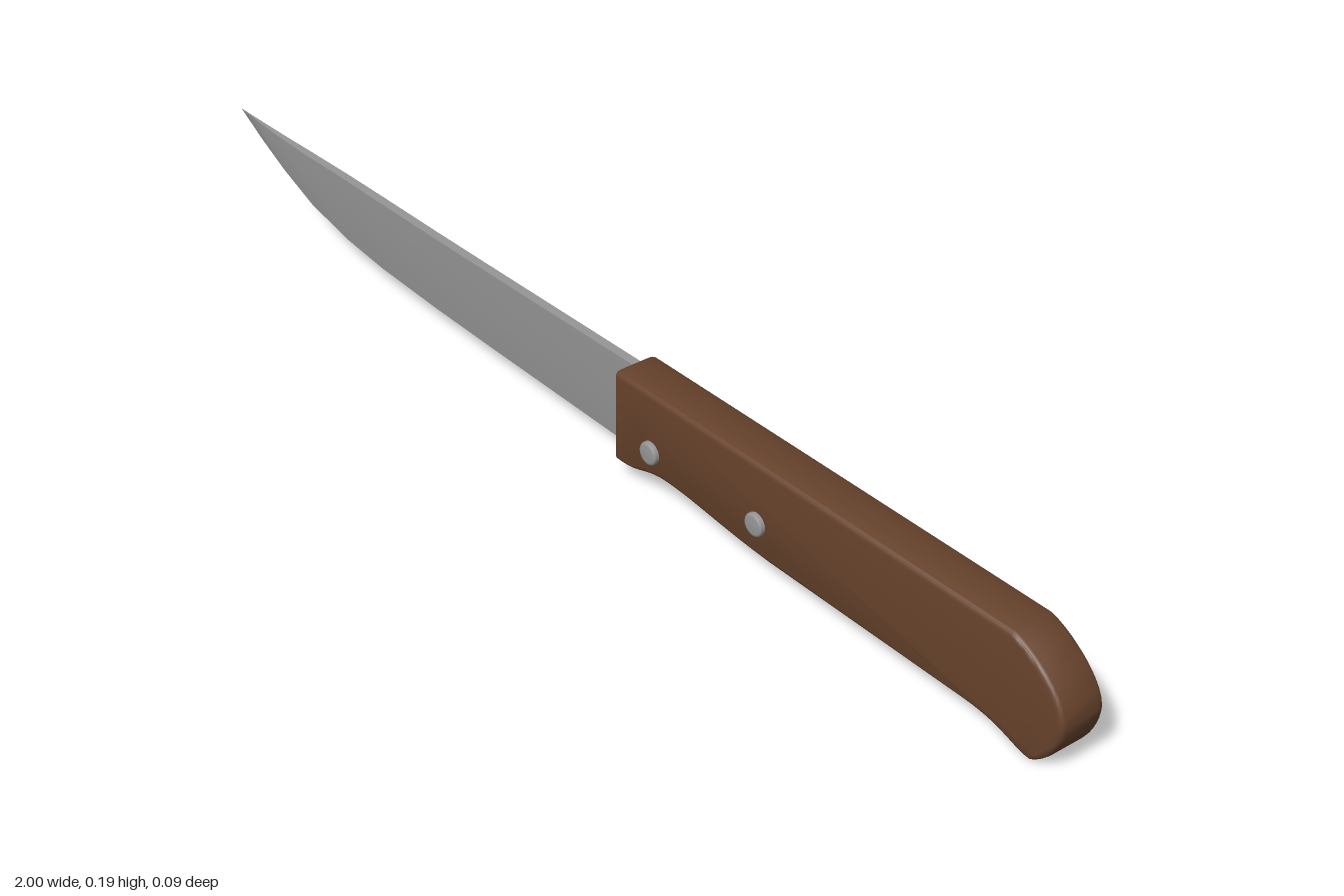
import * as THREE from 'three';
import { toCreasedNormals } from 'three/addons/utils/BufferGeometryUtils.js';

const wood = new THREE.MeshStandardMaterial({ color: 0x66422b });
wood.name = 'brown wood';
const steel = new THREE.MeshStandardMaterial({ color: 0x969696 });
steel.name = 'grey steel';

const HANDLE_Z = -0.0035; // middle of the handle's thickness
const BLADE_Z = -0.008;

function add(group, name, geometry, material) {
  const mesh = new THREE.Mesh(geometry, material);
  mesh.name = name;
  group.add(mesh);
  return mesh;
}

// Handle: side outline with a finger notch and a hooked butt, extruded with rounded edges
function handleGeometry() {
  const s = new THREE.Shape();
  s.moveTo(0.063, 0.04);
  s.lineTo(0.063, 0.182);
  s.quadraticCurveTo(0.063, 0.189, 0.072, 0.189);
  s.lineTo(0.895, 0.189);
  s.bezierCurveTo(0.935, 0.178, 0.995, 0.135, 1.0, 0.092);
  s.bezierCurveTo(1.0, 0.055, 0.975, 0.018, 0.945, 0.002);
  s.bezierCurveTo(0.91, 0.004, 0.89, 0.026, 0.82, 0.027);
  s.lineTo(0.42, 0.032);
  s.bezierCurveTo(0.3, 0.037, 0.25, 0.051, 0.18, 0.05);
  s.bezierCurveTo(0.13, 0.048, 0.12, 0.03, 0.075, 0.032);
  s.quadraticCurveTo(0.063, 0.032, 0.063, 0.04);
  const bevel = 0.012;
  const depth = 0.079 - 2 * bevel;
  const g = new THREE.ExtrudeGeometry(s, {
    depth, curveSegments: 10, bevelEnabled: true, bevelThickness: bevel,
    bevelSize: 0.008, bevelOffset: -0.008, bevelSegments: 4,
  });
  g.translate(0, 0, HANDLE_Z - depth / 2);
  return toCreasedNormals(g, 0.7);
}

// Blade: wedge cross-sections from the handle to the tip, thick spine and sharp edge
function bladeGeometry() {
  // x, spine height, edge height, half thickness of the spine
  const stations = [
    [0.1, 0.186, 0.03, 0.008], [-0.1, 0.184, 0.034, 0.008],
    [-0.3, 0.182, 0.038, 0.008], [-0.45, 0.181, 0.042, 0.008],
    [-0.6, 0.181, 0.049, 0.008], [-0.7, 0.181, 0.06, 0.0075],
    [-0.8, 0.181, 0.084, 0.007], [-0.88, 0.182, 0.118, 0.005],
    [-0.94, 0.184, 0.15, 0.003], [-1, 0.187, 0.186, 0.0003],
  ];
  const pos = [], index = [];
  for (const [x, top, edge, t] of stations) {
    const mid = edge + (top - edge) * 0.45;
    const z = BLADE_Z + 0.005 * Math.max(0, (-x - 0.7) / 0.3);
    pos.push(x, top, z + t, x, mid, z + t * 0.75, x, edge, z,
      x, mid, z - t * 0.75, x, top, z - t);
  }
  for (let i = 0; i < stations.length - 1; i++) {
    for (let j = 0; j < 5; j++) {
      const a = i * 5 + j, b = i * 5 + (j + 1) % 5;
      index.push(a, a + 5, b, b, a + 5, b + 5);
    }
  }
  // Close the hidden end inside the handle
  index.push(0, 1, 4, 1, 3, 4, 1, 2, 3);
  const g = new THREE.BufferGeometry();
  g.setAttribute('position', new THREE.Float32BufferAttribute(pos, 3));
  g.setIndex(index);
  return toCreasedNormals(g, 0.6);
}

// Rivet: short pin with a softened rim, facing +z
function rivetGeometry() {
  const profile = [[0.019, -0.01], [0.019, 0.006], [0.0175, 0.0085], [0.014, 0.0095], [0, 0.01]]
    .map(([r, y]) => new THREE.Vector2(r, y));
  const g = new THREE.LatheGeometry(profile, 20);
  g.rotateX(Math.PI / 2);
  return g;
}

export function createModel() {
  const knife = new THREE.Group();
  knife.name = 'knife';
  add(knife, 'handle', handleGeometry(), wood);
  const blade = add(knife, 'blade', bladeGeometry(), steel);
  blade.material.side = THREE.DoubleSide;
  for (const x of [0.152, 0.39]) {
    add(knife, 'rivet', rivetGeometry(), steel).position.set(x, 0.089, 0.035);
  }
  return knife;
}
